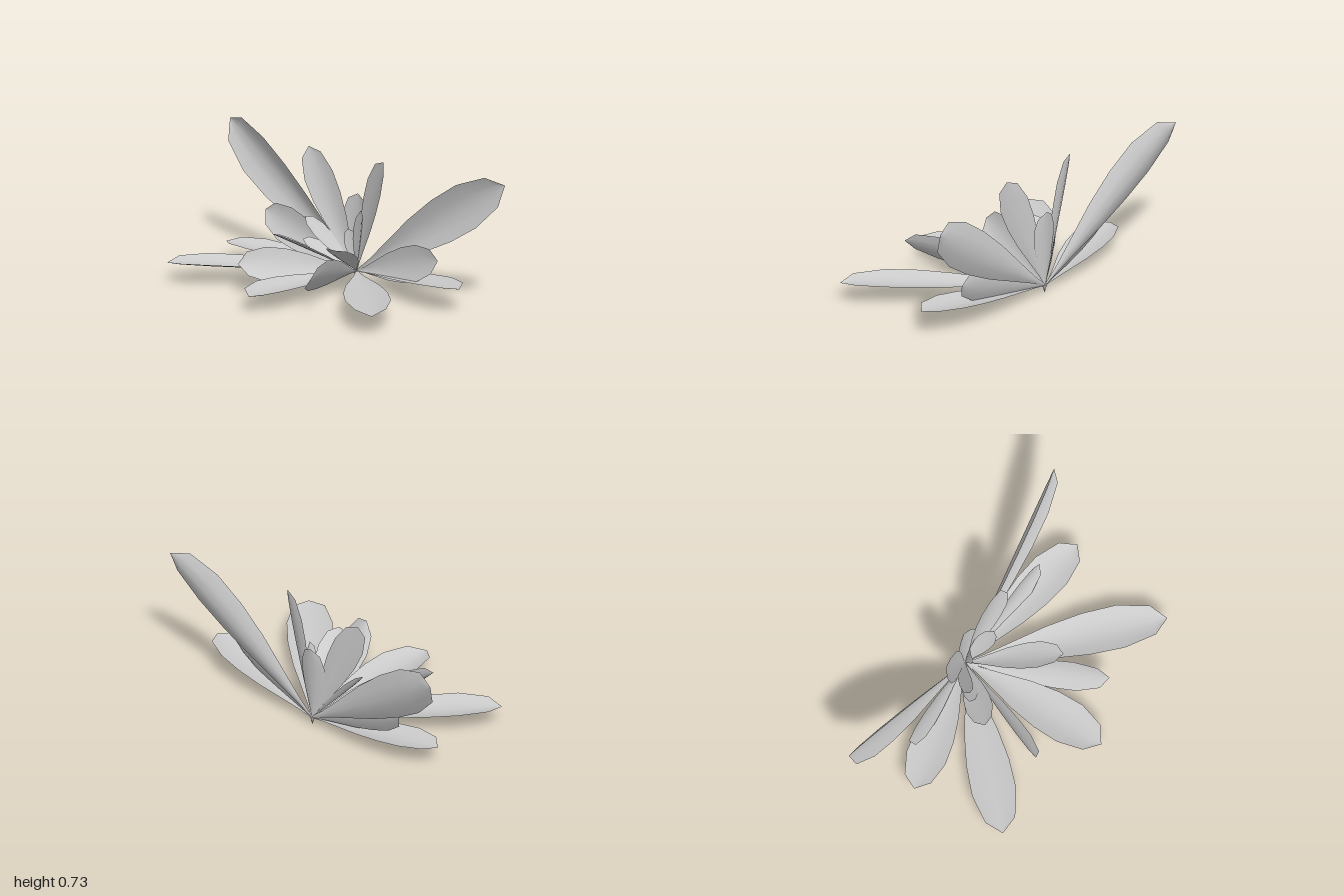
import * as THREE from 'three';

const material = new THREE.MeshStandardMaterial({ color: 0xcccccc, side: THREE.DoubleSide });
const BASE = new THREE.Vector3(0, 0.045, -0.4);

// Half width of a leaf along its length: slim stalk, broad upper part, pointed end
const OUTLINE = [[0, 0.04], [0.1, 0.16], [0.24, 0.42], [0.42, 0.76], [0.6, 0.97], [0.77, 1], [0.93, 0.68], [1, 0]];
const ACROSS = 4;

// A cupped leaf from the base to its tip; facing is the side its hollow looks towards
function makeLeaf(name, tip, facing, halfWidth, cup = 0.22) {
  const axis = new THREE.Vector3(...tip).sub(BASE);
  const dir = axis.clone().normalize();
  const normal = new THREE.Vector3(...facing);
  normal.addScaledVector(dir, -normal.dot(dir)).normalize();
  const side = new THREE.Vector3().crossVectors(dir, normal);
  const positions = [], index = [];
  OUTLINE.forEach(([t, w], i) => {
    for (let j = 0; j <= ACROSS; j++) {
      const s = (j / ACROSS) * 2 - 1;
      const p = BASE.clone().addScaledVector(axis, t)
        .addScaledVector(side, s * w * halfWidth)
        .addScaledVector(normal, s * s * w * halfWidth * cup);
      positions.push(p.x, p.y, p.z);
      if (i && j) {
        const d = i * (ACROSS + 1) + j, b = d - ACROSS - 1;
        index.push(b - 1, b, d, b - 1, d, d - 1);
      }
    }
  });
  const geometry = new THREE.BufferGeometry();
  geometry.setAttribute('position', new THREE.Float32BufferAttribute(positions, 3));
  geometry.setIndex(index);
  geometry.computeVertexNormals();
  const mesh = new THREE.Mesh(geometry, material);
  mesh.name = name;
  return mesh;
}

// name, tip, facing, half width
const LEAVES = [
  // tall leaves at the back
  ['backLeafLeft', [1, 0.7, -0.485], [0, 0, 1], 0.13, 0.35],
  ['backLeafRight', [-1, 0.7, -0.495], [0, 0, 1], 0.13, 0.35],
  ['uprightLeafLeft', [0.25, 0.72, -0.335], [-0.4, 0, 0.9], 0.087],
  ['uprightLeafRight', [-0.29, 0.71, -0.335], [0.4, 0, 0.9], 0.087],
  ['uprightLeafCentre', [0, 0.48, -0.41], [0, 0, 1], 0.085],
  // middle tier at the sides
  ['sideLeafLeft', [0.64, 0.235, -0.34], [0, 0.25, 1], 0.1],
  ['sideLeafRight', [-0.62, 0.285, -0.355], [0, 0.25, 1], 0.1],
  // flat outer leaves
  ['outerLeafLeft', [0.875, 0.14, -0.25], [0, 1, 0], 0.115, 0.2],
  ['outerLeafRight', [-0.78, 0.105, -0.215], [0, 1, 0], 0.112, 0.2],
  ['frontLeafLeft', [0.8, 0.11, 0.385], [0, 1, 0], 0.125, 0.25],
  ['frontLeafRight', [-0.73, 0.11, 0.33], [0, 1, 0], 0.122, 0.25],
  ['frontLeafCentre', [0, 0.09, 0.487], [0, 1, 0], 0.127, 0.25],
  // steep leaves towards the front
  ['steepLeafLeft', [0.31, 0.21, 0.335], [-0.88, 0.48, 0.2], 0.1],
  ['steepLeafRight', [-0.285, 0.17, 0.25], [0.88, 0.48, 0.2], 0.1],
  ['raisedLeafLeft', [0.255, 0.31, 0.07], [-0.05, 0.87, -0.3], 0.08],
  ['raisedLeafRight', [-0.31, 0.265, -0.065], [0.05, 0.87, -0.3], 0.075],
  // small inner leaves
  ['innerLeafLeft', [0.12, 0.43, -0.295], [-1, 0.1, 0.2], 0.05],
  ['innerLeafRight', [-0.24, 0.34, -0.25], [0.9, 0.4, 0.1], 0.05],
  ['lowInnerLeaf', [-0.23, 0.22, -0.22], [0.7, 0.7, 0], 0.05],
  ['heartLeaf', [-0.02, 0.29, -0.35], [0.75, 0, 0.65], 0.035],
];

export function createModel() {
  const plant = new THREE.Group();
  plant.name = 'leafRosette';
  for (const leaf of LEAVES) plant.add(makeLeaf(...leaf));

  // short pointed stem under the rosette
  const stem = new THREE.Mesh(new THREE.ConeGeometry(0.015, 0.05, 6), material);
  stem.name = 'stem';
  stem.rotation.x = Math.PI;
  stem.position.set(0, 0.025, -0.395);
  plant.add(stem);
  return plant;
}
